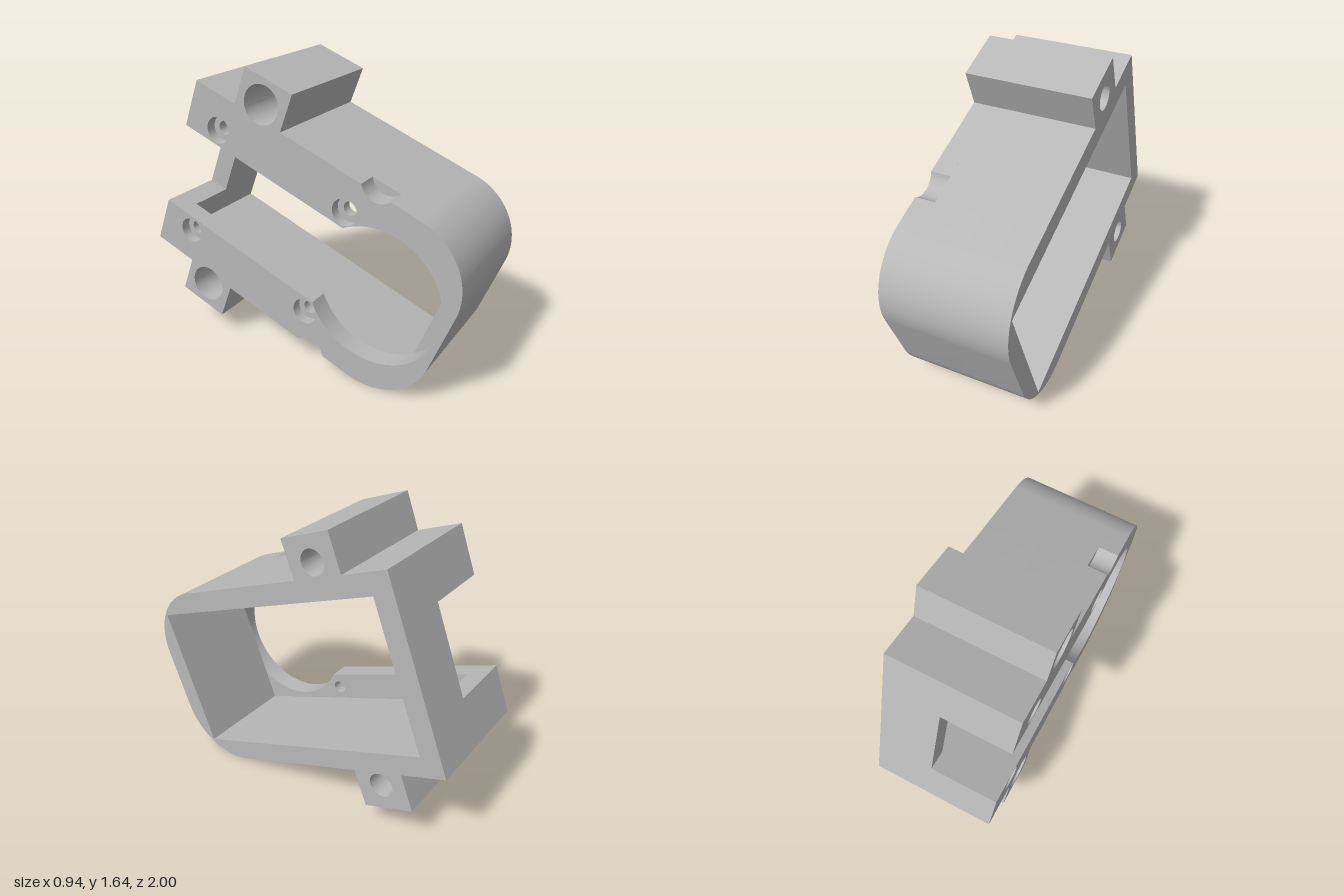
import * as THREE from 'three';
import { toCreasedNormals } from 'three/addons/utils/BufferGeometryUtils.js';

// Profile sizes: u runs from back to front, v from bottom to top
const H = 1.072, LENGTH = 1.764, CORNER = 0.356, MID = H / 2;
const WALL = 0.117, FRONT_IN = 1.653;
const LUG = { back: 0.264, front: 0.565, height: 0.217 };
const SLOT = 0.259;                                  // half height of the slot
const BORE = { u: 1.35, r: 0.385 };                  // large round opening
const SCOOP = { u: 1.153, half: 0.085, r: 0.097, off: 0.047 };

// Traces the outside, then leaves the back edge to be closed by `back`
function outline(scoops, back) {
  const s = new THREE.Shape();
  const a = Math.atan2(SCOOP.off, SCOOP.half);
  s.moveTo(0, 0);
  s.lineTo(LUG.back, 0);
  s.lineTo(LUG.back, -LUG.height);
  s.lineTo(LUG.front, -LUG.height);
  s.lineTo(LUG.front, 0);
  if (scoops) {
    s.lineTo(SCOOP.u - SCOOP.half, 0);
    s.absarc(SCOOP.u, -SCOOP.off, SCOOP.r, Math.PI - a, a, true);
  }
  s.lineTo(LENGTH - CORNER, 0);
  s.absarc(LENGTH - CORNER, CORNER, CORNER, -Math.PI / 2, 0, false);
  s.lineTo(LENGTH, H - CORNER);
  s.absarc(LENGTH - CORNER, H - CORNER, CORNER, 0, Math.PI / 2, false);
  if (scoops) {
    s.lineTo(SCOOP.u + SCOOP.half, H);
    s.absarc(SCOOP.u, H + SCOOP.off, SCOOP.r, -a, a - Math.PI, true);
  }
  s.lineTo(LUG.front, H);
  s.lineTo(LUG.front, H + LUG.height);
  s.lineTo(LUG.back, H + LUG.height);
  s.lineTo(LUG.back, H);
  s.lineTo(0, H);
  if (back) back(s);
  s.closePath();
  return s;
}

// Slot running in from the back and ending in the round opening
function slotAndBore(s) {
  const a = Math.PI - Math.asin(SLOT / BORE.r);
  s.lineTo(0, MID + SLOT);
  s.lineTo(BORE.u + BORE.r * Math.cos(a), MID + SLOT);
  s.absarc(BORE.u, MID, BORE.r, a, -a, true);
  s.lineTo(0, MID - SLOT);
}

// Rectangular cavity reached through a gap in the back wall
function cavityWithGap(s) {
  [[0, MID + SLOT], [WALL, MID + SLOT], [WALL, H - WALL], [FRONT_IN, H - WALL],
    [FRONT_IN, WALL], [WALL, WALL], [WALL, MID - SLOT], [0, MID - SLOT]]
    .forEach(([u, v]) => s.lineTo(u, v));
}

function addRoundHole(shape, u, v, r) {
  const p = new THREE.Path();
  p.absarc(u, v, r, 0, Math.PI * 2, true);
  shape.holes.push(p);
}

function addLugHoles(shape, r) {
  for (const v of [-0.077, H + 0.077]) addRoundHole(shape, 0.4145, v, r);
}

function addScrewHoles(shape, r) {
  for (const u of [0.209, 1.043]) for (const v of [0.192, H - 0.192]) addRoundHole(shape, u, v, r);
}

function addCavity(shape) {
  const p = new THREE.Path();
  p.moveTo(WALL, WALL);
  p.lineTo(WALL, H - WALL);
  p.lineTo(FRONT_IN, H - WALL);
  p.lineTo(FRONT_IN, WALL);
  p.closePath();
  shape.holes.push(p);
}

export function createModel() {
  const grey = new THREE.MeshStandardMaterial({ color: 0xb8b8b8 });
  grey.name = 'plain grey';

  const housing = new THREE.Group();
  housing.name = 'housing';

  // Extrudes a profile across the width, from x = lo to x = hi
  function layer(name, shape, lo, hi) {
    let g = new THREE.ExtrudeGeometry(shape, { depth: hi - lo, bevelEnabled: false, curveSegments: 32 });
    g.rotateY(-Math.PI / 2);
    g.translate(hi, 0, 0);
    g = toCreasedNormals(g, 0.5);
    const mesh = new THREE.Mesh(g, grey);
    mesh.name = name;
    housing.add(mesh);
  }

  // Floor plate: wide screw recesses outside, narrow screw holes inside
  const floorOuter = outline(true, slotAndBore);
  addScrewHoles(floorOuter, 0.073);
  addLugHoles(floorOuter, 0.106);
  layer('floorOuter', floorOuter, -0.353, -0.295);

  const floorInner = outline(true, slotAndBore);
  addScrewHoles(floorInner, 0.038);
  addLugHoles(floorInner, 0.106);
  layer('floorInner', floorInner, -0.295, -0.238);

  // Walls with the gap at the back
  const gapWalls = outline(false, cavityWithGap);
  addLugHoles(gapWalls, 0.106);
  layer('wallsWithGap', gapWalls, -0.238, 0.035);

  // Closed walls
  const closedWalls = outline(false);
  addCavity(closedWalls);
  addLugHoles(closedWalls, 0.106);
  layer('closedWalls', closedWalls, 0.035, 0.2);

  // Rim, where the lug holes narrow
  const rim = outline(false);
  addCavity(rim);
  addLugHoles(rim, 0.07);
  layer('rim', rim, 0.2, 0.353);

  // Resting pose: tilted nose down and turned slightly
  housing.rotation.x = THREE.MathUtils.degToRad(20.85);
  housing.position.set(0, 0.525, -0.963);
  const model = new THREE.Group();
  model.name = 'tiltedHousing';
  model.rotation.y = THREE.MathUtils.degToRad(7.1);
  model.add(housing);
  const root = new THREE.Group();
  root.name = 'model';
  root.add(model);
  return root;
}
